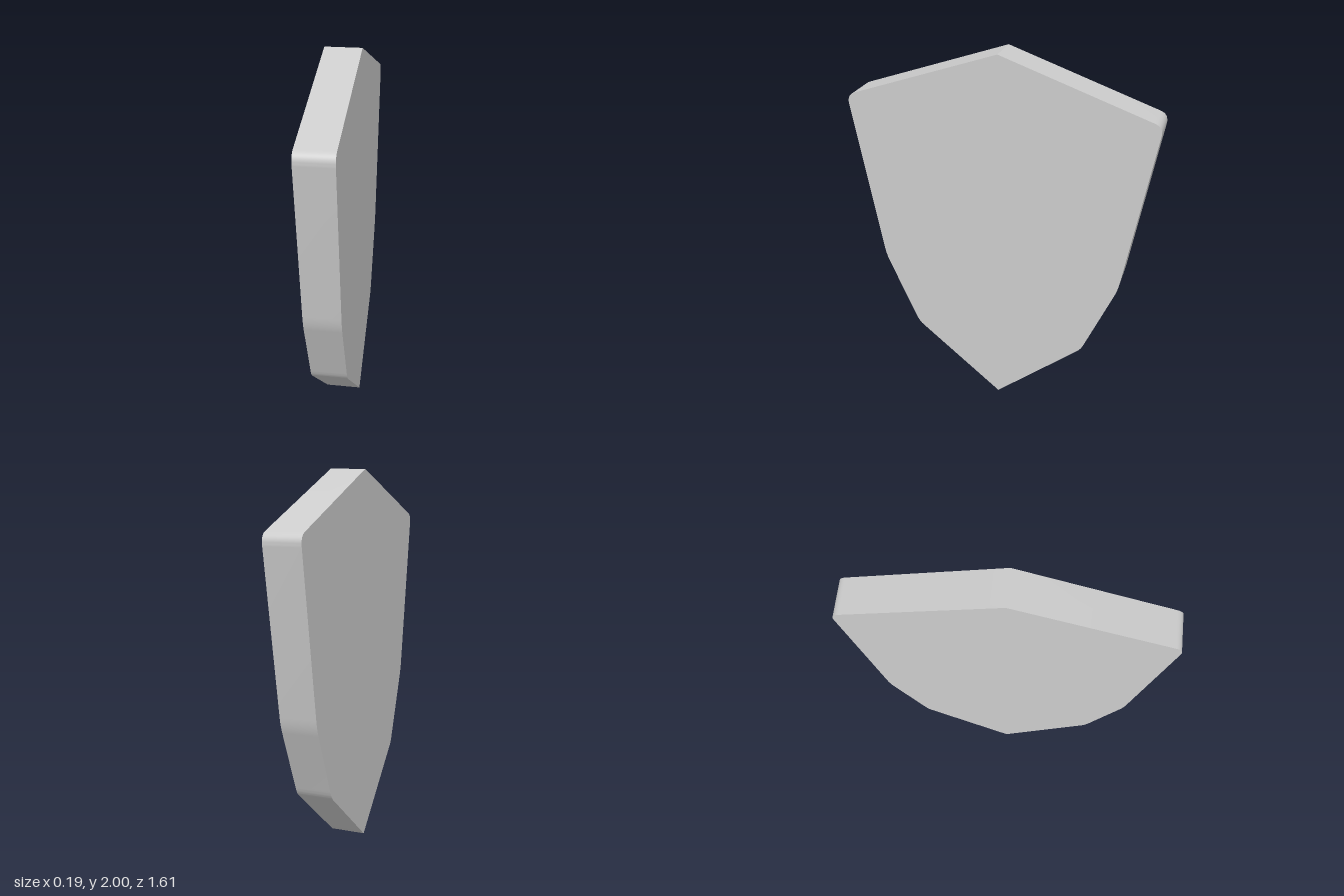
import * as THREE from 'three';
import { toCreasedNormals } from 'three/addons/utils/BufferGeometryUtils.js';

const THICKNESS = 0.19;

// Right half of the outline, bottom to top: [start, corner, end] of each rounded corner
const CORNERS = [
  [[0.455, 0.375], [0.477, 0.393], [0.494, 0.435]],
  [[0.635, 0.76], [0.653, 0.8], [0.662, 0.85]],
  [[0.804, 1.67], [0.814, 1.722], [0.769, 1.737]],
];

function shieldShape() {
  const shape = new THREE.Shape();
  shape.moveTo(0, 0);
  for (const [a, c, b] of CORNERS) {
    shape.lineTo(...a);
    shape.quadraticCurveTo(...c, ...b);
  }
  shape.lineTo(0, 2);
  // Mirrored half, walked back down
  for (const [a, c, b] of [...CORNERS].reverse()) {
    shape.lineTo(-b[0], b[1]);
    shape.quadraticCurveTo(-c[0], c[1], -a[0], a[1]);
  }
  shape.closePath();
  return shape;
}

export function createModel() {
  const group = new THREE.Group();
  group.name = 'shield';

  // Flat plate, turned so its broad faces look along x
  const plate = new THREE.ExtrudeGeometry(shieldShape(), {
    depth: THICKNESS, bevelEnabled: false, curveSegments: 10,
  });
  plate.translate(0, 0, -THICKNESS / 2);
  plate.rotateY(Math.PI / 2);

  const mesh = new THREE.Mesh(
    toCreasedNormals(plate, 0.4),
    new THREE.MeshStandardMaterial({ color: 0xcccccc }),
  );
  mesh.name = 'shieldPlate';
  group.add(mesh);
  return group;
}
